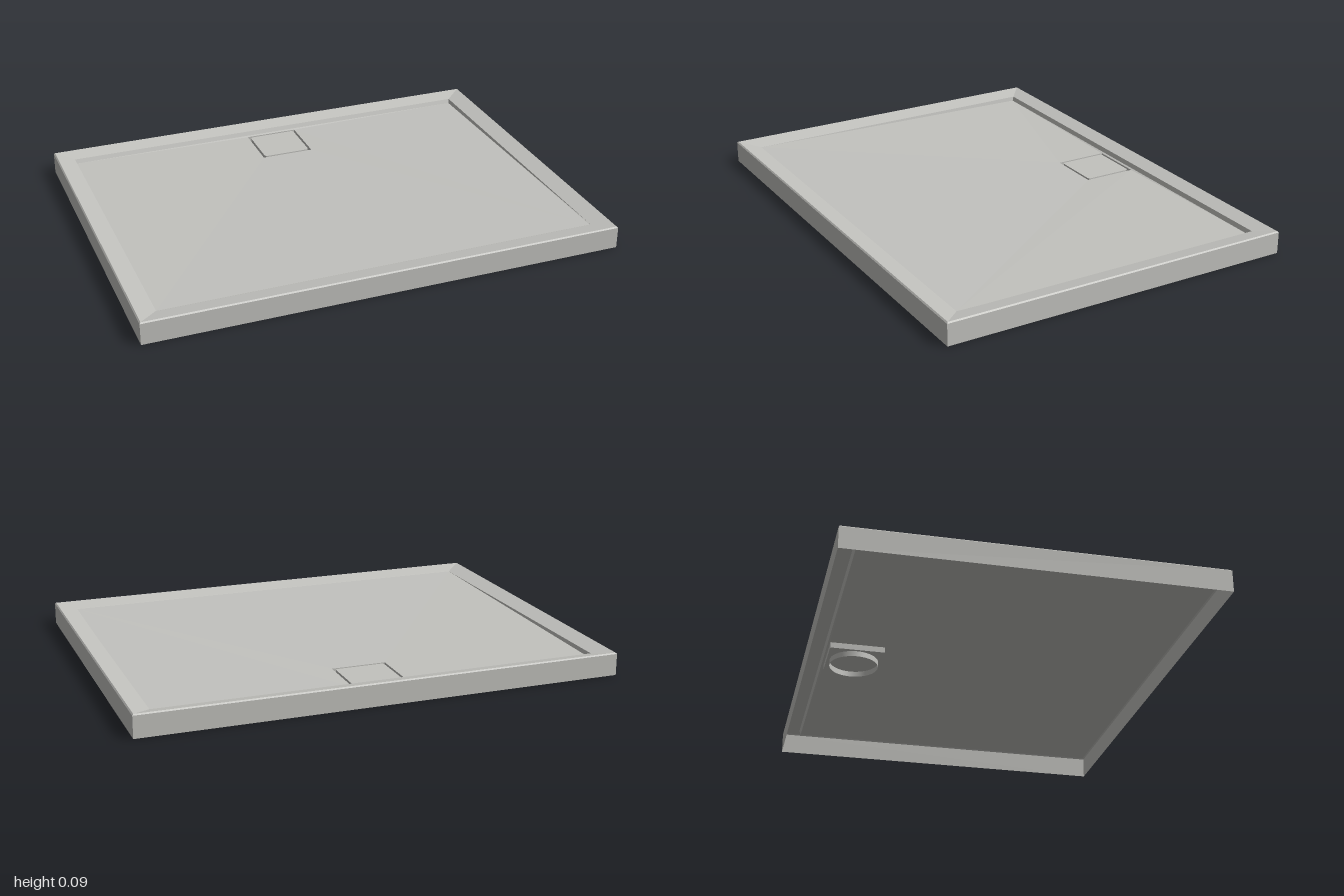
import * as THREE from 'three';

// Four corners of a rectangle, counter-clockwise seen from above
function ring(x, zFront, zBack, yFront, yBack = yFront) {
  return [[x, yFront, zFront], [x, yBack, zBack], [-x, yBack, zBack], [-x, yFront, zFront]];
}

// Faceted skin through successive rectangular rings, optionally closed by the last one
function skin(rings, closed = false) {
  const pos = [];
  const quad = (a, b, c, d) => pos.push(...a, ...b, ...c, ...a, ...c, ...d);
  for (let r = 0; r < rings.length - 1; r++) {
    for (let i = 0; i < 4; i++) {
      const j = (i + 1) % 4;
      quad(rings[r][i], rings[r][j], rings[r + 1][j], rings[r + 1][i]);
    }
  }
  if (closed) quad(...rings[rings.length - 1]);
  const g = new THREE.BufferGeometry();
  g.setAttribute('position', new THREE.Float32BufferAttribute(pos, 3));
  g.computeVertexNormals();
  return g;
}

function roundedSquare(half, radius) {
  const s = new THREE.Shape();
  const k = half - radius;
  [[k, k, 0], [-k, k, 1], [-k, -k, 2], [k, -k, 3]].forEach(([x, y, q]) =>
    s.absarc(x, y, radius, q * Math.PI / 2, (q + 1) * Math.PI / 2, false));
  s.closePath();
  return s;
}

export function createModel() {
  const group = new THREE.Group();
  const ceramic = new THREE.MeshStandardMaterial({ color: 0xc2c2be, side: THREE.DoubleSide });
  ceramic.name = 'warm grey';
  const add = (name, geometry, x = 0, y = 0, z = 0) => {
    const m = new THREE.Mesh(geometry, ceramic);
    m.name = name;
    m.position.set(x, y, z);
    group.add(m);
    return m;
  };

  // Outer walls, small edge bevel and rim falling gently inwards
  const rimInner = ring(0.92, 0.67, -0.68, 0.08);
  add('rim', skin([
    ring(1, 0.75, -0.75, 0),
    ring(1, 0.75, -0.75, 0.09),
    ring(0.995, 0.745, -0.745, 0.095),
    rimInner,
  ]));

  // Step that deepens towards the back, and the floor falling to the drain
  const floorEdge = ring(0.916, 0.667, -0.673, 0.079, 0.062);
  const drainEdge = ring(0.114, -0.436, -0.664, 0.059);
  add('floorStep', skin([rimInner, floorEdge]));
  add('floor', skin([floorEdge, drainEdge]));

  // Recess under the drain cover
  add('drainRecess', skin([drainEdge, ring(0.114, -0.436, -0.664, 0.035)], true));

  // Square drain cover with a narrow gap around it
  const cover = new THREE.ExtrudeGeometry(roundedSquare(0.104, 0.012), {
    depth: 0.02, bevelEnabled: false, curveSegments: 5,
  });
  cover.rotateX(-Math.PI / 2);
  add('drainCover', cover, 0, 0.039, -0.55);

  // Open outlet collar below
  add('drainOutlet', new THREE.CylinderGeometry(0.102, 0.102, 0.023, 40, 1, true), 0, 0.0235, -0.55);

  return group;
}
